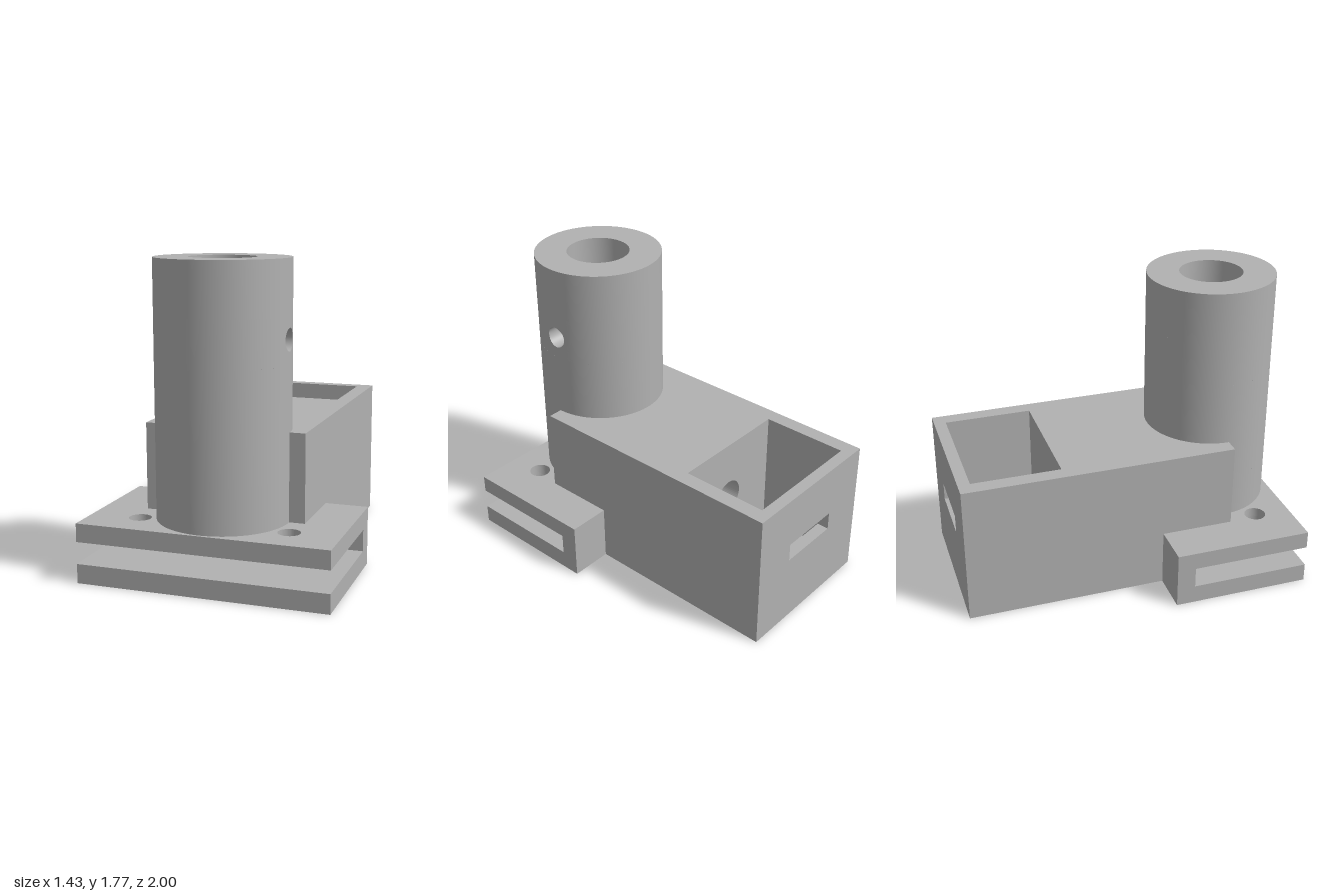
import * as THREE from 'three';
import { ParametricGeometry } from 'three/addons/geometries/ParametricGeometry.js';

const R = 0.375, BORE = 0.185, TOWER_Z = 0.61;   // tower radii and axis
const BODY_X = 0.465, BODY_TOP = 0.84, CLAMP_X = 0.715, CLAMP_TOP = 0.34;
const PORT_ANGLE = 0.75, PORT_HALF = 0.13;       // half size of a wall patch with a port

export function createModel() {
  const model = new THREE.Group();
  model.name = 'clampedHolder';
  const grey = new THREE.MeshStandardMaterial({ color: 0xb1b1b1, side: THREE.DoubleSide });
  grey.name = 'plain grey';

  const add = (name, geometry, parent = model) => {
    const mesh = new THREE.Mesh(geometry, grey);
    mesh.name = name;
    parent.add(mesh);
    return mesh;
  };
  const box = (name, x0, x1, y0, y1, z0, z1) => add(name,
    new THREE.BoxGeometry(x1 - x0, y1 - y0, z1 - z0)
      .translate((x0 + x1) / 2, (y0 + y1) / 2, (z0 + z1) / 2));
  const rect = (x0, x1, y0, y1, Type = THREE.Shape) =>
    new Type([[x0, y0], [x1, y0], [x1, y1], [x0, y1]].map(p => new THREE.Vector2(...p)));
  const circle = (x, y, r) => new THREE.Path().absarc(x, y, r, 0, Math.PI * 2, true);
  const extrude = (shape, depth) =>
    new THREE.ExtrudeGeometry(shape, { depth, bevelEnabled: false, curveSegments: 32 });
  // Plan shape (x, z) raised between two heights
  const raise = (name, shape, y0, y1) =>
    add(name, extrude(shape, y1 - y0).rotateX(Math.PI / 2).translate(0, y1, 0));

  // Clamp: two jaws joined by a web, screw holes in the upper jaw
  box('lowerJaw', -CLAMP_X, CLAMP_X, 0, 0.11, 0.18, 1);
  box('clampWeb', -CLAMP_X, CLAMP_X, 0.11, 0.235, 0.18, 0.29);
  const jaw = rect(-CLAMP_X, CLAMP_X, 0.18, 1);
  jaw.holes.push(circle(0, TOWER_Z, 0.11), circle(-0.43, 0.785, 0.063), circle(0.43, 0.785, 0.063));
  raise('upperJaw', jaw, 0.235, CLAMP_TOP);

  // Rear wall with its slot
  const rear = rect(-BODY_X, BODY_X, 0, BODY_TOP);
  rear.holes.push(rect(-0.19, 0.19, 0.42, 0.53, THREE.Path));
  add('rearWall', extrude(rear, 0.07).translate(0, 0, -1));

  // Pocket sides and floor
  for (const s of [-1, 1]) {
    const [a, b] = [s * 0.375, s * BODY_X].sort((p, q) => p - q);
    box('pocketSide', a, b, 0, BODY_TOP, -0.93, -0.41);
  }
  box('pocketFloor', -0.375, 0.375, 0, 0.11, -0.93, -0.41);

  // Solid middle with a round cable channel from pocket to tower
  const middle = rect(-BODY_X, BODY_X, 0, BODY_TOP);
  middle.holes.push(circle(0, 0.47, 0.105));
  add('bodyBlock', extrude(middle, 0.645).translate(0, 0, -0.41));

  // Cheeks that hug the rear half of the tower
  const cheeks = new THREE.Shape();
  cheeks.moveTo(-BODY_X, 0.235).lineTo(BODY_X, 0.235).lineTo(BODY_X, TOWER_Z).lineTo(R, TOWER_Z);
  cheeks.absarc(0, TOWER_Z, R, 0, -Math.PI, true);
  cheeks.lineTo(-BODY_X, TOWER_Z);
  raise('bodyCheeks', cheeks, CLAMP_TOP, BODY_TOP);

  // Tower: plain bands and bands with a radial port
  const tower = new THREE.Group();
  tower.name = 'tower';
  tower.position.z = TOWER_Z;
  model.add(tower);

  const plainBand = (y0, y1) => {
    for (const r of [R, BORE]) {
      add(r === R ? 'towerWall' : 'towerBore',
        new THREE.CylinderGeometry(r, r, y1 - y0, 96, 1, true).translate(0, (y0 + y1) / 2, 0), tower);
    }
  };

  const portBand = (y, portR, turn) => {
    const band = new THREE.Group();
    band.name = 'portBand';
    band.position.y = y;
    band.rotation.y = turn;
    tower.add(band);
    for (const r of [R, BORE]) {
      add('bandWall', new THREE.CylinderGeometry(r, r, PORT_HALF * 2, 72, 1, true,
        Math.PI / 2 + PORT_ANGLE, Math.PI * 2 - PORT_ANGLE * 2), band);
      // Curved patch running from the round port out to a rectangle
      add('portSurround', new ParametricGeometry((u, v, p) => {
        const c = Math.cos(u * Math.PI * 2), s = Math.sin(u * Math.PI * 2);
        const m = Math.max(Math.abs(c), Math.abs(s));
        const z = THREE.MathUtils.lerp(portR * c, r * Math.sin(PORT_ANGLE * c / m), v);
        const h = THREE.MathUtils.lerp(portR * s, PORT_HALF * s / m, v);
        p.set(Math.sqrt(r * r - z * z), h, z);
      }, 64, 8), band);
    }
    add('portLining', new ParametricGeometry((u, v, p) => {
      const z = portR * Math.cos(u * Math.PI * 2);
      const r = THREE.MathUtils.lerp(BORE, R, v);
      p.set(Math.sqrt(r * r - z * z), portR * Math.sin(u * Math.PI * 2), z);
    }, 64, 4), band);
  };

  portBand(0.47, 0.105, Math.PI / 2);
  plainBand(0.6, 1.21);
  portBand(1.34, 0.063, 0);
  plainBand(1.47, 1.77);
  add('towerRim', new THREE.RingGeometry(BORE, R, 96).rotateX(-Math.PI / 2).translate(0, 1.77, 0), tower);

  return model;
}
